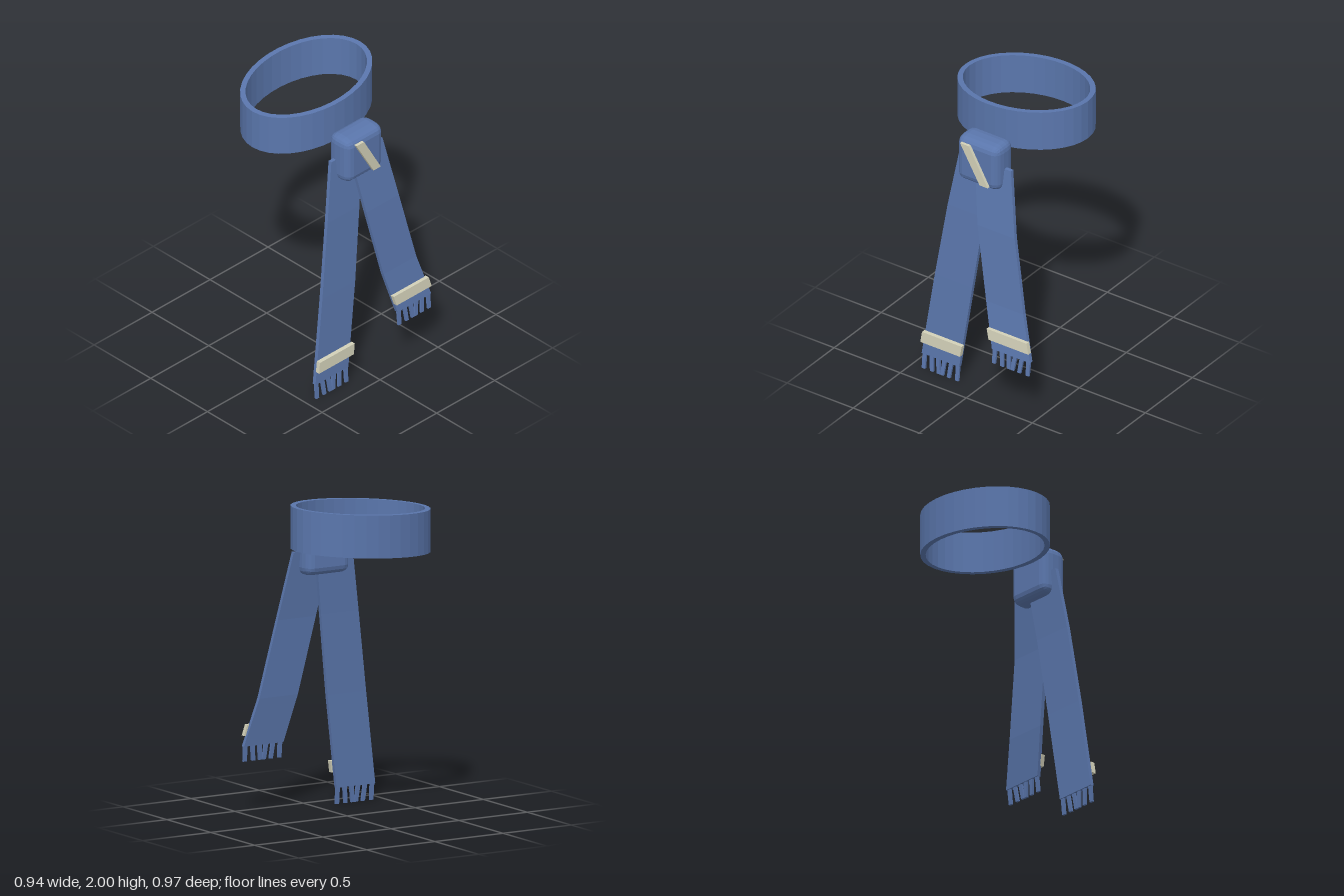
import * as THREE from 'three';
import { RoundedBoxGeometry } from 'three/addons/geometries/RoundedBoxGeometry.js';

export function createModel() {
  const model = new THREE.Group();
  model.name = 'scarf';

  const blue = new THREE.MeshStandardMaterial({ color: 0x5a76ac, flatShading: true });
  blue.name = 'blue wool';
  const cream = new THREE.MeshStandardMaterial({ color: 0xd2d0b8, flatShading: true });
  cream.name = 'cream stripe';

  function add(parent, name, geometry, material) {
    const mesh = new THREE.Mesh(geometry, material);
    mesh.name = name;
    parent.add(mesh);
    return mesh;
  }

  // Strip through rows of [y, left edge x, right edge x, centre z], listed top to bottom
  function strip(rows, thickness) {
    const n = rows.length - 1;
    const geometry = new THREE.BoxGeometry(1, 1, 1, 1, n, 1);
    const p = geometry.attributes.position;
    for (let i = 0; i < p.count; i++) {
      const [y, x0, x1, z] = rows[Math.round((0.5 - p.getY(i)) * n)];
      p.setXYZ(i, p.getX(i) < 0 ? x0 : x1, y, z + p.getZ(i) * thickness);
    }
    geometry.computeVertexNormals();
    return geometry;
  }

  // Neck loop: elliptical band, sheared so its left side sits higher
  const ring = new THREE.Shape().absellipse(0, 0, 0.466, 0.338, 0, Math.PI * 2);
  ring.holes.push(new THREE.Path().absellipse(0, 0, 0.432, 0.304, 0, Math.PI * 2, true));
  const loop = new THREE.ExtrudeGeometry(ring, { depth: 0.27, bevelEnabled: false, curveSegments: 18 });
  loop.rotateX(-Math.PI / 2);
  loop.applyMatrix4(new THREE.Matrix4().set(
    1, 0, 0, -0.004,
    0.075, 1, 0, 1.695,
    0, 0, 1, -0.147,
    0, 0, 0, 1));
  add(model, 'neckLoop', loop, blue);

  // Knot with faceted rounded corners
  const knot = add(model, 'knot', new RoundedBoxGeometry(0.322, 0.318, 0.14, 2, 0.052), blue);
  knot.scale.z = 1.32;
  knot.position.set(-0.005, 1.638, 0.293);

  // Slanted stripe across the knot
  add(model, 'knotStripe', strip([[1.77, -0.113, -0.047, 0.398], [1.515, 0.035, 0.097, 0.398]], 0.02), cream);

  // Hanging tails, each with a stripe and a fringe
  const tails = [
    {
      name: 'rightTail',
      rows: [[1.63, -0.205, 0.06, 0.268], [1.22, -0.272, 0.003, 0.303], [0.7, -0.347, -0.064, 0.334], [0.105, -0.43, -0.146, 0.358]],
      band: [[0.275, -0.412, -0.112, 0.378], [0.2, -0.423, -0.123, 0.381]],
      fringe: { y0: 0.115, y1: 0, x0: -0.427, x1: -0.147, z0: 0.358, z1: 0.368 },
    },
    {
      name: 'leftTail',
      rows: [[1.63, -0.07, 0.205, 0.3], [1.2, 0.0, 0.28, 0.367], [0.71, 0.1, 0.382, 0.417], [0.41, 0.176, 0.466, 0.463]],
      band: [[0.545, 0.139, 0.441, 0.465], [0.475, 0.158, 0.46, 0.472]],
      fringe: { y0: 0.42, y1: 0.312, x0: 0.18, x1: 0.462, z0: 0.463, z1: 0.474 },
    },
  ];

  for (const { name, rows, band, fringe: f } of tails) {
    const tail = new THREE.Group();
    tail.name = name;
    model.add(tail);
    add(tail, 'cloth', strip(rows, 0.025), blue);
    add(tail, 'stripe', strip(band, 0.028), cream);

    // Six tassels, with the middle ones swaying outward slightly
    const count = 6, width = 0.028;
    for (let i = 0; i < count; i++) {
      const x = f.x0 + (f.x1 - f.x0 - width) * i / (count - 1);
      const sway = i === 0 || i === count - 1 ? 0 : 0.012 * (i < 3 ? 1 : -1);
      add(tail, 'tassel', strip([
        [f.y0, x, x + width, f.z0],
        [f.y1, x + sway, x + sway + width * 0.9, f.z1],
      ], 0.014), blue);
    }
  }

  return model;
}
